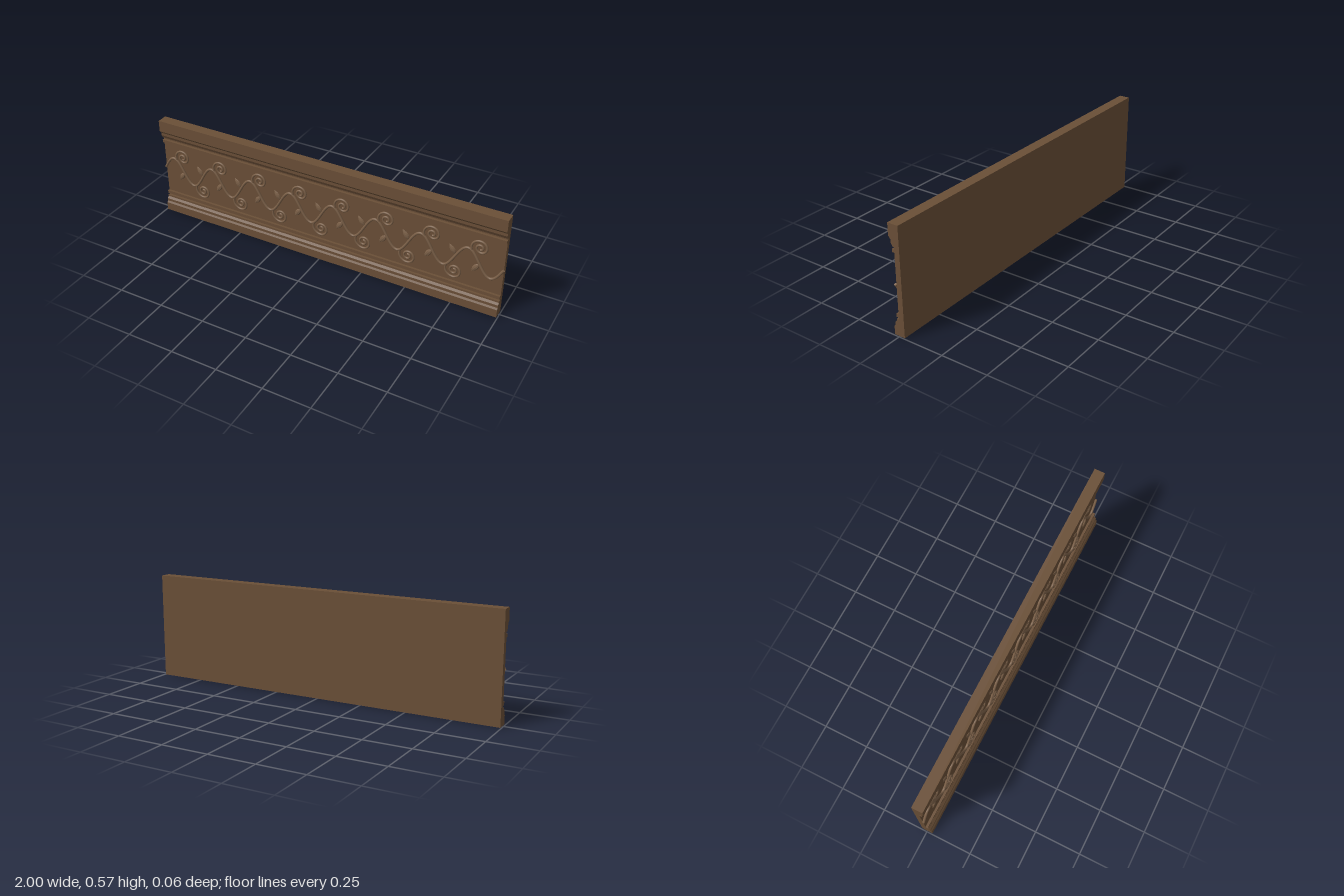
import * as THREE from 'three';

const HALF = 0.994;            // half length of the moulding
const WAVES = 8;
const PERIOD = (2 * HALF) / WAVES;
const MID = 0.272;             // height of the vine's centre line
const RELIEF_Z = 0.006;

const wood = new THREE.MeshStandardMaterial({ color: 0x6a4f37 });
const vineWood = new THREE.MeshStandardMaterial({ color: 0x7a5f47 });
const leafWood = new THREE.MeshStandardMaterial({ color: 0x7a5f47, flatShading: true });

// Tube along a list of points, closed with a disc at each end
function stem(name, points, radius, segments) {
  const group = new THREE.Group();
  group.name = name;
  const curve = new THREE.CatmullRomCurve3(points);
  group.add(new THREE.Mesh(new THREE.TubeGeometry(curve, segments, radius, 8), vineWood));
  for (const [t, sign] of [[0, -1], [1, 1]]) {
    const cap = new THREE.Mesh(new THREE.CircleGeometry(radius, 8), vineWood);
    const p = curve.getPoint(t);
    cap.position.copy(p);
    cap.lookAt(p.clone().addScaledVector(curve.getTangent(t), sign));
    group.add(cap);
  }
  return group;
}

// Stepped side profile swept along the length
function createBoard() {
  const profile = [
    [-0.029, 0], [0.03, 0], [0.03, 0.046], [0.023, 0.055], [0.023, 0.07],
    [0.013, 0.08], [0.013, 0.09], [0, 0.09], [0, 0.1], [0.013, 0.1],
    [0.013, 0.118], [0, 0.118], [0, 0.432], [0.013, 0.432], [0.013, 0.448],
    [0, 0.448], [0, 0.46], [0.008, 0.46], [0.018, 0.478], [0.018, 0.494],
    [0.03, 0.508], [0.03, 0.572], [-0.029, 0.572],
  ];
  const shape = new THREE.Shape(profile.map(([z, y]) => new THREE.Vector2(-z, y)));
  const geometry = new THREE.ExtrudeGeometry(shape, { depth: 2 * HALF, bevelEnabled: false });
  geometry.rotateY(Math.PI / 2).translate(-HALF, 0, 0);
  const mesh = new THREE.Mesh(geometry, wood);
  mesh.name = 'mouldedBoard';
  return mesh;
}

function createVine() {
  const points = [];
  const count = WAVES * 16;
  for (let i = 0; i <= count; i++) {
    const t = i / count;
    points.push(new THREE.Vector3(
      (2 * t - 1) * HALF, MID + 0.071 * Math.sin(t * WAVES * Math.PI * 2), RELIEF_Z));
  }
  return stem('vine', points, 0.007, WAVES * 32);
}

// Curl leaving the vine and winding inward; side is 1 above, -1 below
function createCurl(x, side) {
  const points = [];
  const count = 36;
  for (let i = 0; i <= count; i++) {
    const t = i / count;
    const angle = THREE.MathUtils.degToRad(220 - 680 * t);
    const r = 0.01 + 0.04 * Math.pow(1 - t, 1.5);
    points.push(new THREE.Vector3(
      x + r * Math.cos(angle), MID + side * (0.088 + r * Math.sin(angle)), RELIEF_Z));
  }
  return stem(side > 0 ? 'upperCurl' : 'lowerCurl', points, 0.006, 80);
}

// Pointed leaf: a sphere narrowed to a tip at both ends, with a raised middle
function createLeafGeometry() {
  const geometry = new THREE.SphereGeometry(1, 8, 10);
  const p = geometry.attributes.position;
  for (let i = 0; i < p.count; i++) {
    const y = p.getY(i);
    const taper = Math.sqrt(Math.max(0, 1 - y * y)) * (1 - 0.2 * y);
    p.setXYZ(i, p.getX(i) * taper * 0.014, (y + 1) * 0.032, p.getZ(i) * taper * 0.007);
  }
  geometry.computeVertexNormals();
  return geometry;
}

export function createModel() {
  const model = new THREE.Group();
  model.name = 'carvedMoulding';
  model.add(createBoard(), createVine());

  const leafGeometry = createLeafGeometry();
  const addLeaf = (x, side) => {
    const leaf = new THREE.Mesh(leafGeometry, leafWood);
    leaf.name = side > 0 ? 'upperLeaf' : 'lowerLeaf';
    leaf.position.set(x, MID + side * 0.008, 0.003);
    leaf.rotation.z = side > 0 ? 0.6 : Math.PI - 0.6;
    model.add(leaf);
  };

  for (let i = 0; i < WAVES; i++) {
    const start = -HALF + i * PERIOD;
    // Above each falling stretch a curl, with a leaf hanging below it
    model.add(createCurl(start + PERIOD * 0.5, 1));
    addLeaf(start + PERIOD * 0.5, -1);
    // Between waves the same pair turned upside down
    if (i < WAVES - 1) {
      model.add(createCurl(start + PERIOD, -1));
      addLeaf(start + PERIOD, 1);
    }
  }
  return model;
}
